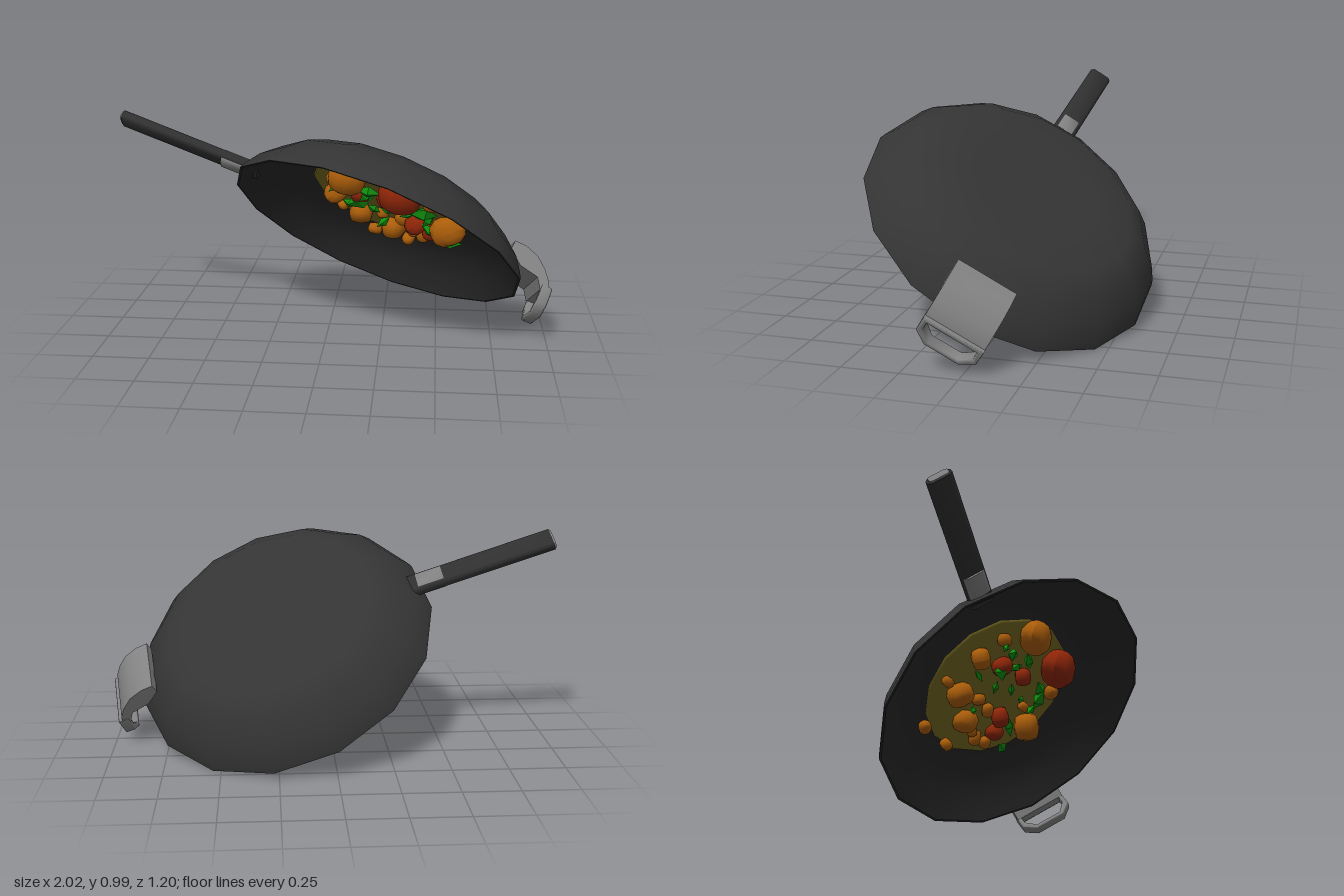
import * as THREE from 'three';
import { toCreasedNormals } from 'three/addons/utils/BufferGeometryUtils.js';

const mat = (name, color, extra = {}) => {
  const m = new THREE.MeshStandardMaterial({ color, ...extra });
  m.name = name;
  return m;
};
const points = list => list.map(p => new THREE.Vector2(...p));

export function createModel() {
  const iron = mat('dark iron', 0x343434);
  const lining = mat('dark lining', 0x282828);
  const grip = mat('black grip', 0x303030);
  const steel = mat('grey steel', 0x828282);
  const sauce = mat('olive sauce', 0x766a22);
  const orange = mat('orange chunk', 0xac5e0a);
  const red = mat('red chunk', 0x902608);
  const green = mat('green leaf', 0x10900e, { flatShading: true });

  const root = new THREE.Group();
  root.name = 'tiltedPan';
  const add = (parent, name, geometry, material) => {
    const m = new THREE.Mesh(geometry, material);
    m.name = name;
    parent.add(m);
    return m;
  };

  // Pan frame: local x runs along the handle line, local y points out of the pan's underside
  const up = new THREE.Vector3(0.332, 0.781, -0.529).normalize();
  const along = new THREE.Vector3(0.933, -0.36, 0.053);
  along.addScaledVector(up, -along.dot(up)).normalize();
  const across = new THREE.Vector3().crossVectors(along, up);
  const centre = new THREE.Vector3(0.213, 0.444, 0);
  const pan = new THREE.Group();
  pan.name = 'pan';
  pan.quaternion.setFromRotationMatrix(new THREE.Matrix4().makeBasis(along, up, across));
  pan.position.copy(centre);
  root.add(pan);

  // Fifteen-sided bowl, turned in separate pieces so its rims stay sharp
  const turn = (name, pts, material) => add(pan, name,
    new THREE.LatheGeometry(points(pts), 15, THREE.MathUtils.degToRad(21.8)), material);
  turn('outerShell', [[0.705, 0], [0.693, 0.03], [0.65, 0.1], [0.57, 0.18], [0.475, 0.238],
    [0.3, 0.247], [0, 0.248]], iron);
  turn('innerWall', [[0, 0.195], [0.39, 0.19], [0.52, 0.145], [0.615, 0.08], [0.695, 0]], lining);
  turn('rim', [[0.695, 0], [0.705, 0]], lining);
  turn('saucePool', [[0, 0.172], [0.378, 0.172], [0.385, 0.185]], sauce);

  // Long handle with chamfered section
  const bar = (length, w, h, c) => {
    const s = new THREE.Shape(points([
      [-w, -h + c], [-w + c, -h], [w - c, -h], [w, -h + c],
      [w, h - c], [w - c, h], [-w + c, h], [-w, h - c],
    ]));
    const g = new THREE.ExtrudeGeometry(s, { depth: length, bevelEnabled: false });
    return toCreasedNormals(g.translate(0, 0, -length / 2).rotateY(Math.PI / 2), 0.95);
  };
  const handle = new THREE.Group();
  handle.name = 'handle';
  handle.position.set(-0.96, 0.07, -0.015);
  handle.rotation.y = -0.05;
  pan.add(handle);
  add(handle, 'handleGrip', bar(0.69, 0.058, 0.024, 0.014), grip);
  add(handle, 'handleCap', bar(0.012, 0.046, 0.019, 0.008), steel).position.x = -0.347;
  add(handle, 'handleBracket', bar(0.12, 0.05, 0.031, 0.014), steel).position.set(0.225, -0.003, 0);

  // Helper grip: a bent plate over the wall
  const plate = new THREE.Shape(points([
    [0.595, 0.195], [0.65, 0.192], [0.715, 0.167], [0.765, 0.122], [0.8, 0.075], [0.815, 0.025],
    [0.775, 0.025], [0.745, 0.075], [0.70, 0.085], [0.655, 0.095], [0.59, 0.15],
  ]));
  const plateGeo = new THREE.ExtrudeGeometry(plate, { depth: 0.27, bevelEnabled: false });
  add(pan, 'helperPlate', toCreasedNormals(plateGeo.translate(0, 0, -0.135), 0.7), steel);

  // Open loop below the plate: a flat band, deep along the pan's radius
  const band = (w, top, bottom, corner) => points([
    [-w, top], [-w, bottom + 0.05], [-corner, bottom], [corner, bottom], [w, bottom + 0.05], [w, top],
  ]);
  const loop = new THREE.Shape(band(0.137, 0.05, -0.082, 0.08));
  loop.holes.push(new THREE.Path(band(0.113, 0.03, -0.06, 0.068)));
  const loopGeo = new THREE.ExtrudeGeometry(loop, {
    depth: 0.036, bevelThickness: 0.008, bevelSize: 0.006, bevelOffset: -0.006, bevelSegments: 2,
  });
  loopGeo.rotateY(Math.PI / 2).translate(0.783, 0, 0);
  add(pan, 'helperLoop', toCreasedNormals(loopGeo, 0.9), steel);

  // Food lies on the sauce plane; z follows from x and y
  const food = new THREE.Group();
  food.name = 'food';
  root.add(food);
  const place = (mesh, x, y, lift) => {
    const dx = x - centre.x, dy = y - centre.y, h = 0.172 - lift;
    mesh.position.set(x, y, (up.x * dx + up.y * dy - h) / -up.z);
  };
  // Lumpy rounded cube: a sphere pushed towards a box
  const lump = new THREE.SphereGeometry(1, 12, 8);
  const pos = lump.attributes.position;
  for (let i = 0; i < pos.count; i++) {
    const v = new THREE.Vector3().fromBufferAttribute(pos, i);
    const m = Math.max(Math.abs(v.x), Math.abs(v.y), Math.abs(v.z));
    v.multiplyScalar(0.6 + 0.35 / m);
    pos.setXYZ(i, v.x, v.y, v.z);
  }
  lump.computeVertexNormals();

  const chunks = (name, material, list) => list.forEach(([x, y, s], i) => {
    const m = add(food, name, lump, material);
    m.scale.set(s, s * 0.75, s * 0.85);
    m.rotation.set(0.3 + i * 1.1, i * 0.7, -0.25 + (i % 3) * 0.2);
    place(m, x, y, s * 0.45);
  });
  chunks('orangeChunk', orange, [
    [0.09, 0.745, 0.092], [0.02, 0.62, 0.064], [0.13, 0.49, 0.07], [0.29, 0.42, 0.068],
    [0.545, 0.48, 0.088], [0.19, 0.36, 0.038], [0.36, 0.335, 0.038], [0.43, 0.39, 0.042],
    [0.47, 0.63, 0.042], [0.45, 0.55, 0.034], [0.33, 0.49, 0.038], [0.24, 0.51, 0.036],
    [0.04, 0.52, 0.034], [0.5, 0.39, 0.036], [0.02, 0.71, 0.04], [0.38, 0.41, 0.036],
  ]);
  chunks('redChunk', red, [[0.33, 0.69, 0.104], [0.4, 0.48, 0.062], [0.14, 0.63, 0.055], [0.47, 0.43, 0.05],
    [0.27, 0.63, 0.055]]);

  // Leaves: slim flat diamonds scattered between the chunks
  const leaf = new THREE.OctahedronGeometry(1);
  [
    [0.14, 0.6, 0.08, 0.4], [0.18, 0.67, 0.06, -0.2], [0.43, 0.575, 0.08, -0.5], [0.09, 0.665, 0.06, 0.2],
    [0.465, 0.455, 0.06, -0.6], [0.56, 0.38, 0.06, 0.1], [0.27, 0.565, 0.045, -0.3], [0.03, 0.675, 0.045, 0.5],
    [0.38, 0.605, 0.06, -0.2], [0.24, 0.455, 0.04, 0.7], [0.2, 0.55, 0.04, -0.7], [0.455, 0.535, 0.05, 0.9],
    [0.08, 0.56, 0.04, -0.4], [0.36, 0.55, 0.04, 0.3], [0.17, 0.635, 0.05, 0.8],
  ].forEach(([x, y, s, tilt], i) => {
    const m = add(food, 'greenLeaf', leaf, green);
    m.scale.set(s, s * 0.52, s * 0.4);
    m.rotation.set(0.4 * (i % 3), 0.25 * (i % 4) - 0.3, tilt);
    place(m, x, y, 0.045);
  });

  return root;
}
